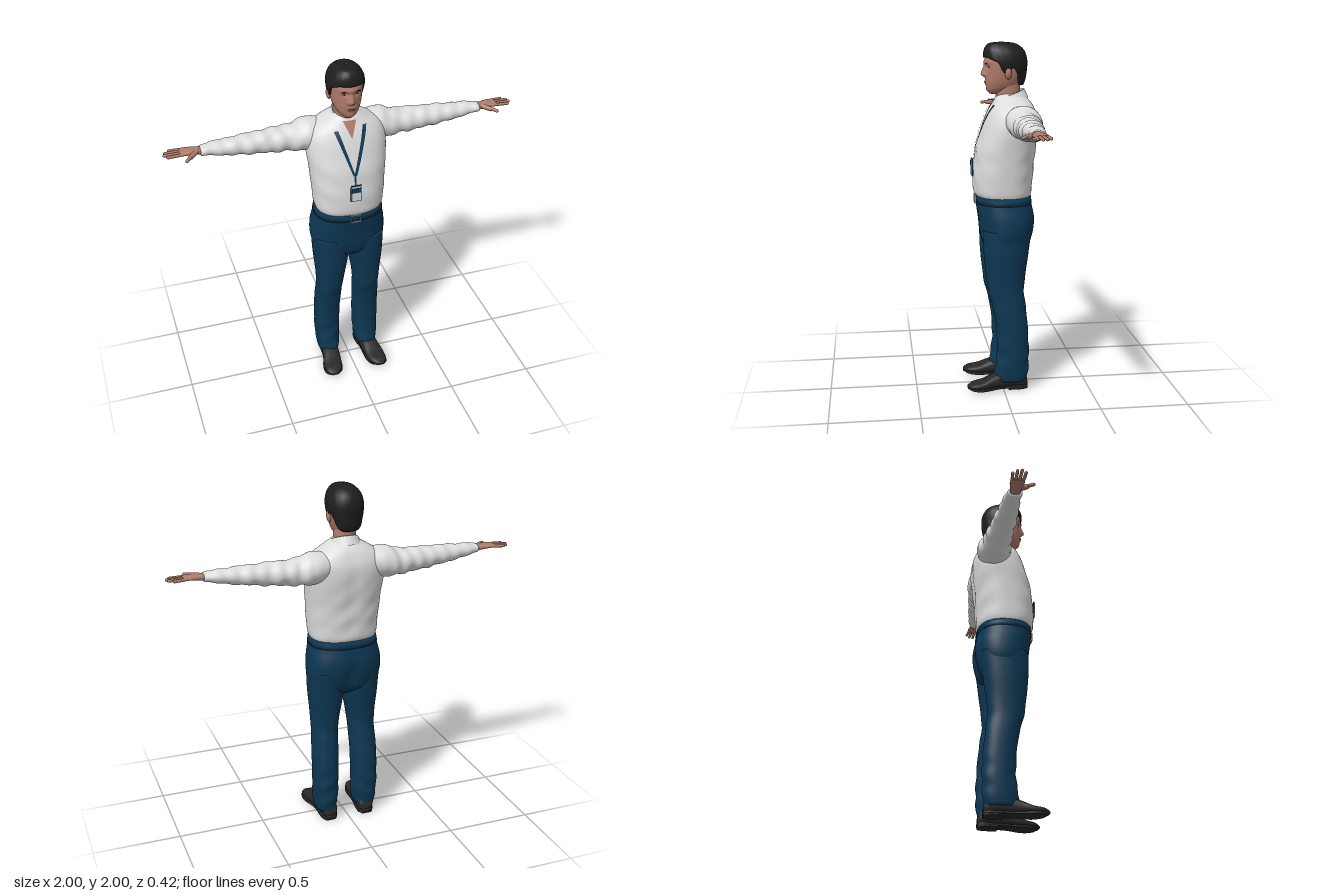
import * as THREE from 'three';

const mat = (name, color, side = THREE.FrontSide) => {
  const m = new THREE.MeshStandardMaterial({ color, side });
  m.name = name;
  return m;
};
const V = (x, y, z) => new THREE.Vector3(x, y, z);
const lerp = THREE.MathUtils.lerp;
const bell = (d, w) => Math.exp(-(d * d) / (w * w));

// Smooth surface from a function of column and row, each 0..1; wrap closes the columns
function surface(fn, nu, nv, wrap) {
  const pos = [], idx = [], cols = wrap ? nu : nu + 1;
  for (let j = 0; j <= nv; j++)
    for (let i = 0; i < cols; i++) pos.push(...fn(i / nu, j / nv, j).toArray());
  for (let j = 0; j < nv; j++)
    for (let i = 0; i < nu; i++) {
      const k = (i + 1) % cols, a = j * cols + i, b = j * cols + k;
      idx.push(a, b, b + cols, a, b + cols, a + cols);
    }
  // Turn the faces outward by the sign of the volume
  const at = i => V(pos[3 * i], pos[3 * i + 1], pos[3 * i + 2]);
  const mid = at(0).lerp(at(pos.length / 3 - 1), 0.5);
  let vol = 0;
  for (let t = 0; t < idx.length; t += 3) {
    const [a, b, c] = [0, 1, 2].map(k => at(idx[t + k]).sub(mid));
    vol += a.dot(b.cross(c));
  }
  if (vol < 0) idx.reverse();
  const g = new THREE.BufferGeometry();
  g.setAttribute('position', new THREE.Float32BufferAttribute(pos, 3));
  g.setIndex(idx);
  g.computeVertexNormals();
  return g;
}

// Cross-section rows: [station, centre u, radius u, v one side, v other side]
function rowAt(rows, s) {
  let k = 0;
  while (k < rows.length - 2 && s > rows[k + 1][0]) k++;
  const a = rows[k], b = rows[k + 1], p = rows[k - 1] || a, q = rows[k + 2] || b;
  const h = b[0] - a[0], t = THREE.MathUtils.clamp((s - a[0]) / h, 0, 1), t2 = t * t, t3 = t2 * t;
  return a.map((_, c) => {
    const ma = (b[c] - p[c]) / (b[0] - p[0]) * h, mb = (q[c] - a[c]) / (q[0] - a[0]) * h;
    return (2 * t3 - 3 * t2 + 1) * a[c] + (t3 - 2 * t2 + t) * ma + (3 * t2 - 2 * t3) * b[c] + (t3 - t2) * mb;
  });
}
const pw = (x, e) => Math.sign(x) * Math.pow(Math.abs(x), 2 / e);
function ringPoint(rows, s, ang, e) {
  const r = rowAt(rows, s);
  return [r[1] + r[2] * pw(Math.sin(ang), e), (r[3] + r[4]) / 2 + (r[3] - r[4]) / 2 * pw(Math.cos(ang), e)];
}
// Capped loft; place maps (station, u, v) to a point
function loft(rows, place, { e = 2, nu = 40, nv = 40, shape = p => p } = {}) {
  const s0 = rows[0][0], s1 = rows[rows.length - 1][0];
  return surface((u, _, j) => {
    const s = lerp(s0, s1, THREE.MathUtils.clamp((j - 1) / (nv - 2), 0, 1));
    if (j === 0 || j === nv) {
      const r = rowAt(rows, s);
      return place(s, r[1], (r[3] + r[4]) / 2);
    }
    const [a, b] = ringPoint(rows, s, u * Math.PI * 2, e);
    return shape(place(s, a, b));
  }, nu, nv, true);
}
const upright = (s, u, v) => V(u, s, v);
// Front z of an upright loft at x, y
function frontZ(rows, x, y, e) {
  const r = rowAt(rows, y), d = Math.min(1, Math.abs((x - r[1]) / r[2]));
  return (r[3] + r[4]) / 2 + (r[3] - r[4]) / 2 * Math.pow(1 - Math.pow(d, e), 1 / e);
}

const TORSO = [[1.13, 0, .186, .135, -.162], [1.16, 0, .195, .152, -.174], [1.25, 0, .203, .156, -.18],
  [1.4, 0, .215, .14, -.195], [1.5, 0, .225, .112, -.207], [1.58, 0, .218, .085, -.206], [1.63, 0, .19, .062, -.19],
  [1.67, 0, .13, .04, -.168], [1.705, 0, .07, .02, -.13], [1.72, 0, .05, .0, -.1]];
const HX = -.008; // head centre
const HEAD = [[1.712, HX, .026, .058, -.03], [1.73, HX, .048, .073, -.07], [1.755, HX, .065, .08, -.1],
  [1.79, HX, .078, .083, -.118], [1.82, HX, .084, .083, -.13], [1.86, HX, .088, .085, -.135],
  [1.9, HX, .088, .087, -.135], [1.94, HX, .08, .075, -.125], [1.975, HX, .05, .03, -.09]];
const HAIR = [[1.74, HX, .066, .02, -.118], [1.78, HX, .086, .06, -.138], [1.85, HX, .098, .088, -.15],
  [1.9, HX, .102, .095, -.152], [1.95, HX, .09, .093, -.136], [1.98, HX, .067, .078, -.106],
  [1.994, HX, .044, .055, -.07], [2, HX, .004, 0, -.01]];

// Nose, brow, eye sockets, lips and chin as relief on the face
function faceRelief(x, y) {
  const d = x - HX, s = Math.abs(d);
  const nose = y > 1.82 ? bell(y - 1.82, .042) : bell(y - 1.82, .014);
  return .027 * nose * bell(d, .013 + .006 * bell(y - 1.815, .015)) + .006 * bell(y - 1.887, .012) * bell(d, .06)
    - .009 * bell(y - 1.862, .012) * bell(s - .033, .018) + .006 * bell(y - 1.777, .012) * bell(d, .022)
    + .004 * bell(y - 1.737, .014) * bell(d, .02);
}
const faceZ = (x, y) => frontZ(HEAD, x, y, 2.2) + faceRelief(x, y);
const chestZ = (x, y) => frontZ(TORSO, x, y, 2.4);

export function createModel() {
  const DS = THREE.DoubleSide;
  const shirt = mat('shirt white', 0xdddddd, DS), navy = mat('trouser navy', 0x0d3753), skin = mat('skin', 0xb07c6b, DS),
    black = mat('hair black', 0x1e1e1e, DS), leather = mat('shoe leather', 0x2a2728), lanyardBlue = mat('lanyard blue', 0x10395a, DS),
    lip = mat('lip', 0x955f55), eyeWhite = mat('eye white', 0xb9aaa3), silver = mat('buckle silver', 0xa9adb0);
  const model = new THREE.Group();
  model.name = 'standingMan';
  const add = (name, geo, m, parent = model) => {
    const mesh = new THREE.Mesh(geo, m);
    mesh.name = name;
    parent.add(mesh);
    return mesh;
  };
  const blob = (name, m, x, y, z, sx, sy, sz, rot = 0) => {
    const b = add(name, new THREE.SphereGeometry(1, 16, 10), m);
    b.position.set(x, y, z);
    b.scale.set(sx, sy, sz);
    b.rotation.z = rot;
  };
  const box = (name, m, x, y, z, w, h, d) => add(name, new THREE.BoxGeometry(w, h, d), m).position.set(x, y, z);

  // Shirt body with soft folds
  add('shirtBody', loft(TORSO, upright, { e: 2.4, nu: 64, nv: 60, shape: p => {
    const f = .003 * Math.sin(p.y * 45 + p.x * 22) * Math.sin(p.x * 17 + 1) * bell(p.y - 1.3, .2);
    p.z += Math.sign(p.z + .02) * f;
    if (p.z < -.1) p.z += .008 * bell(p.x, .03) * bell(p.y - 1.45, .15);
    return p;
  } }), shirt);
  add('placket', surface((u, v) => {
    const x = -.005 + (u - .5) * .03, y = lerp(1.15, 1.6, v);
    return V(x, y, chestZ(x, y) + .003);
  }, 2, 30, false), shirt);

  // Open neck and folded collar
  add('openNeck', surface((u, v) => {
    const y = lerp(1.595, 1.685, v), x = -.003 + (u - .5) * .075 * v;
    return V(x, y, chestZ(x, y) + .005);
  }, 6, 8, false), skin);
  add('collar', surface((u, v, j) => {
    const start = [.5, .35, .45, .72][j], t = lerp(start, Math.PI * 2 - start, u), c = Math.cos(t), f = Math.max(0, c);
    const top = 1.712 - .03 * c;
    const y = [top - .05, top, top - .004, top - .05 - .04 * f * f * f][j];
    const r = [.07, .068, .074, .096][j];
    return V(r * Math.sin(t), y, -.05 + (r + .012 + (j === 3 ? .022 * f : 0)) * c);
  }, 48, 3, false), shirt);

  // Trousers
  add('hips', loft([[.77, 0, .03, .0, -.04], [.83, 0, .17, .085, -.14], [.9, 0, .21, .116, -.175], [1, 0, .215, .128, -.19],
    [1.09, 0, .198, .14, -.175], [1.15, 0, .186, .137, -.163]], upright, { e: 2.4, nu: 56, shape: p => {
    if (p.z < -.08) p.z += .022 * bell(p.x, .03) * bell(p.y - .93, .09);
    return p;
  } }), navy);
  add('belt', loft([[1.098, 0, .2, .144, -.177], [1.14, 0, .193, .142, -.17]], upright, { e: 2.4, nu: 56, nv: 4 }), navy);
  for (const [x, y, w, h] of [[0, 1.138, .058, .005], [0, 1.094, .058, .005], [-.028, 1.116, .005, .045], [.028, 1.116, .005, .045]])
    box('buckle', silver, x, y, .148, w, h, .008);

  for (const [side, s] of [['left', 1], ['right', -1]]) {
    const leg = [[.055, .121, .06, .045, -.138], [.1, .122, .067, .052, -.145], [.2, .122, .073, .036, -.15], [.4, .12, .075, .042, -.142],
      [.6, .112, .076, .085, -.122], [.8, .104, .1, .108, -.145], [.95, .104, .106, .112, -.165]];
    add(side + 'TrouserLeg', loft(leg, (y, u, v) => V(s * u, y, v), { e: 2.3, nv: 60, shape: p => {
      p.z += .004 * Math.sin(p.y * 55 + p.x * s * 30) * bell(p.y - .18, .14) + .003 * Math.sin(p.y * 40 - p.x * 25) * bell(p.y - .55, .1);
      return p;
    } }), navy);

    // Shoe with sole and heel
    const along = (z, u, v) => V(s * u, v, z);
    add(side + 'Shoe', loft([[-.14, .115, .03, .065, .02], [-.12, .115, .045, .1, .014], [-.03, .118, .05, .115, .014],
      [.05, .128, .052, .095, .014], [.12, .138, .056, .064, .016], [.18, .145, .046, .052, .018], [.21, .148, .018, .038, .024]],
      along, { e: 2.5, nu: 28 }), leather);
    add(side + 'Sole', loft([[-.142, .115, .032, .03, .012], [-.11, .115, .049, .03, .01], [.02, .124, .048, .026, .01],
      [.12, .138, .06, .026, .006], [.18, .145, .049, .028, .012], [.21, .148, .02, .034, .022]], along, { e: 5, nu: 28 }), leather);
    add(side + 'Heel', loft([[-.14, .115, .032, .025, 0], [-.11, .115, .047, .025, 0], [-.03, .118, .046, .025, 0]],
      along, { e: 6, nu: 28, nv: 12 }), leather);

    // Sleeve, creased along its length
    const out = (x, u, v) => V(s * x, v, u);
    add(side + 'Sleeve', loft([[.08, -.1, .07, 1.64, 1.52], [.2, -.102, .1, 1.661, 1.482], [.3, -.104, .084, 1.634, 1.487],
      [.47, -.096, .069, 1.626, 1.503], [.6, -.09, .06, 1.62, 1.52], [.7, -.086, .05, 1.615, 1.535],
      [.77, -.082, .044, 1.609, 1.551], [.8, -.08, .038, 1.603, 1.556]], out, { nv: 90, shape: p => {
      const x = Math.abs(p.x), w = THREE.MathUtils.smoothstep(x, .15, .3);
      const k = 1 + w * (.045 * Math.sin(x * 75 + 25 * p.z) + .03 * Math.sin(x * 43 - 40 * p.z + 30 * p.y));
      p.y = 1.572 + (p.y - 1.572) * k;
      p.z = -.09 + (p.z + .09) * k;
      return p;
    } }), shirt);

    // Hand: palm, four fingers and thumb
    const hand = new THREE.Group();
    hand.name = side + 'Hand';
    model.add(hand);
    add('palm', loft([[.77, -.08, .028, 1.597, 1.562], [.82, -.079, .03, 1.599, 1.565], [.87, -.08, .039, 1.599, 1.573],
      [.91, -.082, .037, 1.595, 1.577]], out, { e: 2.4, nu: 24, nv: 16 }), skin, hand);
    const digit = (name, x0, z0, x1, z1, r, drop) => {
      const a = V(s * x0, 1.586, z0), b = V(s * x1, 1.586 - drop, z1);
      const m = add(name, new THREE.CapsuleGeometry(r, a.distanceTo(b), 5, 10), skin, hand);
      m.position.copy(a).lerp(b, .5);
      m.quaternion.setFromUnitVectors(V(0, 1, 0), b.sub(a).normalize());
    };
    [[.96, -.118], [.985, -.097], [.992, -.074], [.975, -.05]].forEach(([x, z], i) =>
      digit('finger', .89, -.11 + i * .0195, x, z, .0085, .003));
    digit('thumbBase', .82, -.062, .858, -.025, .014, .006);
    digit('thumb', .85, -.03, .885, .006, .0095, .008);
  }

  // Neck and head
  add('neck', loft([[1.62, -.002, .066, .03, -.12], [1.7, -.004, .061, .028, -.112], [1.8, HX, .062, .03, -.11]], upright, { nv: 14 }), skin);
  add('head', loft(HEAD, upright, { e: 2.2, nu: 96, nv: 72, shape: p => {
    if (p.z > .01) p.z += faceRelief(p.x, p.y) * THREE.MathUtils.smoothstep(p.z, .01, .05);
    return p;
  } }), skin);
  for (const s of [1, -1]) {
    const ex = HX + s * .034;
    blob('ear', skin, HX + s * .092, 1.828, -.034, .012, .032, .019, -s * .15);
    blob('eye', eyeWhite, ex, 1.86, faceZ(ex, 1.86) - .002, .013, .0045, .004);
    blob('iris', black, ex, 1.86, faceZ(ex, 1.86), .0045, .0043, .003);
    blob('eyebrow', black, ex, 1.882, faceZ(ex, 1.882) - .001, .019, .0032, .004, -s * .1);
  }
  blob('upperLip', lip, HX, 1.779, faceZ(HX, 1.779) - .002, .023, .003, .004);
  blob('lowerLip', lip, HX, 1.772, faceZ(HX, 1.772) - .002, .019, .0035, .004);

  // Hair cap: hairline height by angle from the front to the nape
  const line = [[0, 1.914], [.6, 1.914], [.95, 1.9], [1.2, 1.885], [1.38, 1.835], [1.62, 1.835], [1.8, 1.862], [2.05, 1.835], [2.35, 1.772], [3.15, 1.758]];
  add('hair', surface((u, _, j) => {
    const a = u * Math.PI * 2, low = rowAt(line, Math.PI - Math.abs(a - Math.PI))[1];
    const t = Math.max(0, j - 1) / 27, y = lerp(low, 2, Math.sin(t * Math.PI / 2));
    const [x, z] = ringPoint(HAIR, y, a, 2.2);
    const k = j === 0 ? .82 : 1 + .008 * Math.sin(a * 14 + y * 40) * (1 - t);
    return V(HX + (x - HX) * k, y, -.03 + (z + .03) * k);
  }, 96, 28, true), black);

  // Lanyard straps, cord and badge
  const strap = (name, x0, y0, x1, y1, w0, w1) => add(name, surface((u, v) => {
    const x = lerp(x0, x1, v) + (u - .5) * lerp(w0, w1, v), y = lerp(y0, y1, v);
    return V(x, y, chestZ(x, y) + .007);
  }, 2, 24, false), lanyardBlue);
  strap('leftStrap', .078, 1.655, -.002, 1.4, .024, .016);
  strap('rightStrap', -.085, 1.64, -.01, 1.4, .024, .012);
  strap('badgeCord', -.006, 1.41, -.006, 1.34, .012, .008);
  const bz = chestZ(0, 1.27) + .008;
  box('badgeFrame', lanyardBlue, -.006, 1.297, bz, .06, .1, .006);
  box('badgeCard', shirt, -.006, 1.297, bz + .002, .053, .093, .006);
  box('badgeBand', lanyardBlue, -.006, 1.318, bz + .004, .053, .03, .006);
  return model;
}
